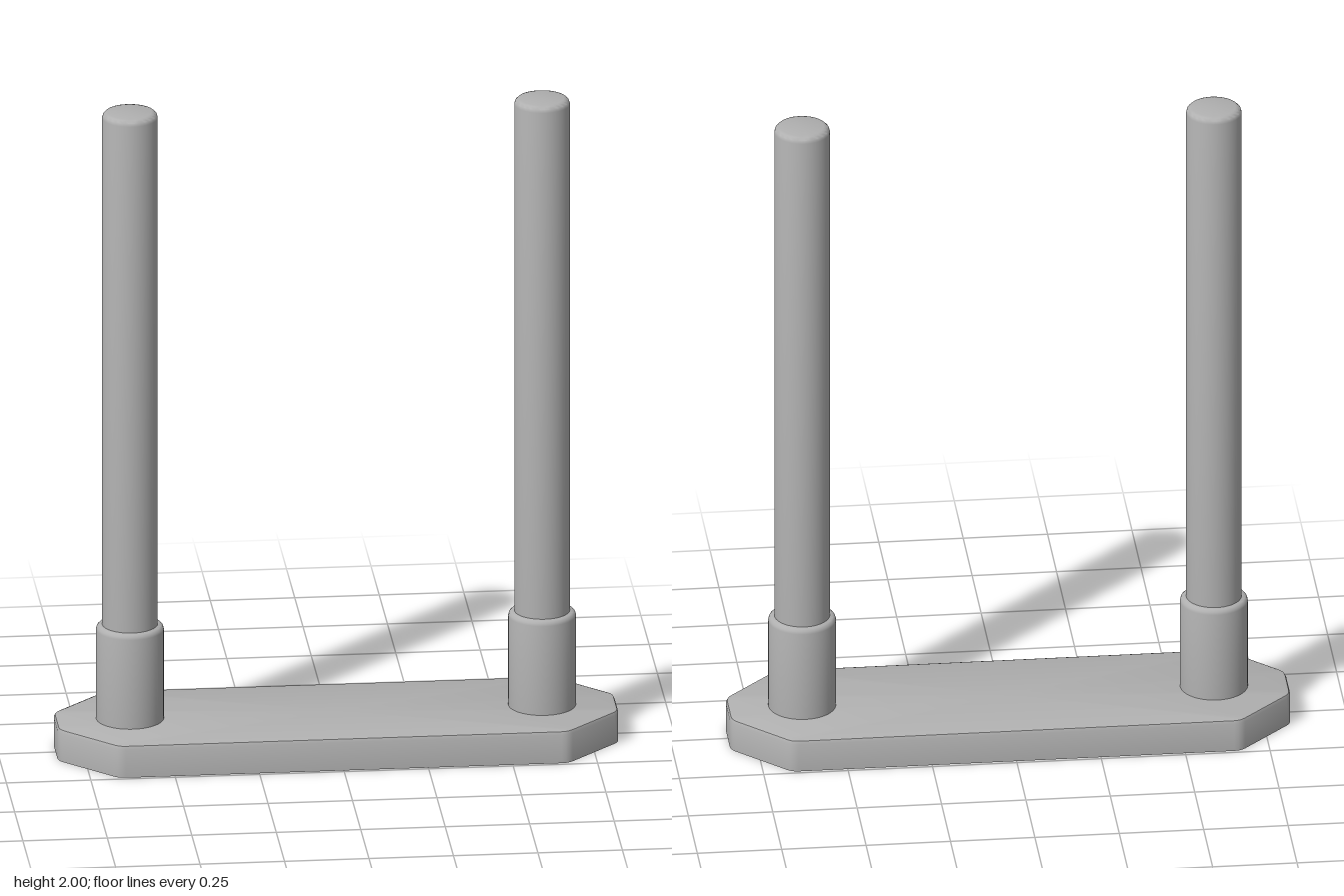
import * as THREE from 'three';
import { toCreasedNormals } from 'three/addons/utils/BufferGeometryUtils.js';

const steel = new THREE.MeshStandardMaterial({ color: 0xb0b0b0 });
steel.name = 'steel grey';

const HALF_X = 0.83, HALF_Z = 0.24, DIAGONAL = 0.905, POLE_X = 0.61;

// Octagon with softened corners, shrunk evenly by the inset
function plateOutline(inset) {
  const x = HALF_X - inset, z = HALF_Z - inset, d = DIAGONAL - inset * Math.SQRT2;
  const corners = [
    [x, d - x], [d - z, z], [z - d, z], [-x, d - x],
    [-x, x - d], [z - d, -z], [d - z, -z], [x, x - d],
  ].map(([px, pz]) => new THREE.Vector2(px, pz));
  const points = [];
  corners.forEach((corner, i) => {
    const towards = (other) => corner.clone().add(other.clone().sub(corner).setLength(0.02));
    const before = towards(corners[(i + 7) % 8]);
    const after = towards(corners[(i + 1) % 8]);
    points.push(...new THREE.QuadraticBezierCurve(before, corner, after).getPoints(3));
  });
  return points;
}

// Plate skin joined from stacked outlines, closed at the centre above and below
function plateGeometry() {
  const centre = (y) => plateOutline(0).map(() => [0, y, 0]);
  const ring = (y, inset) => plateOutline(inset).map((p) => [p.x, y, p.y]);
  const rings = [centre(0), ring(0, 0), ring(0.088, 0), ring(0.097, 0.004), ring(0.1, 0.012), centre(0.1)];
  const positions = [], n = rings[0].length;
  for (let r = 0; r < rings.length - 1; r++) {
    for (let i = 0; i < n; i++) {
      const j = (i + 1) % n;
      const a = rings[r][i], b = rings[r][j], c = rings[r + 1][j], d = rings[r + 1][i];
      if (r < rings.length - 2) positions.push(...a, ...d, ...c);
      if (r > 0) positions.push(...a, ...c, ...b);
    }
  }
  const geometry = new THREE.BufferGeometry();
  geometry.setAttribute('position', new THREE.Float32BufferAttribute(positions, 3));
  return toCreasedNormals(geometry, 0.6);
}

// Round bar with a softened top rim
function barGeometry(radius, bottom, top, rim) {
  const profile = [[0, bottom], [radius, bottom], [radius, top - rim]];
  for (let i = 1; i <= 3; i++) {
    const a = (i / 3) * Math.PI / 2;
    profile.push([radius - rim + rim * Math.cos(a), top - rim + rim * Math.sin(a)]);
  }
  profile.push([0, top]);
  const points = profile.map(([r, y]) => new THREE.Vector2(Math.max(r, 0), y));
  return toCreasedNormals(new THREE.LatheGeometry(points, 48), 0.6);
}

function addPart(parent, name, geometry, x = 0) {
  const mesh = new THREE.Mesh(geometry, steel);
  mesh.name = name;
  mesh.position.x = x;
  parent.add(mesh);
}

export function createModel() {
  const model = new THREE.Group();
  model.name = 'twinPostStand';
  addPart(model, 'basePlate', plateGeometry());

  // Matching posts, each seated in a wider collar
  const collar = barGeometry(0.1, 0.09, 0.395, 0.016);
  const post = barGeometry(0.082, 0.1, 2, 0.018);
  for (const [side, sign] of [['left', 1], ['right', -1]]) {
    addPart(model, side + 'Collar', collar, sign * POLE_X);
    addPart(model, side + 'Post', post, sign * POLE_X);
  }
  return model;
}
